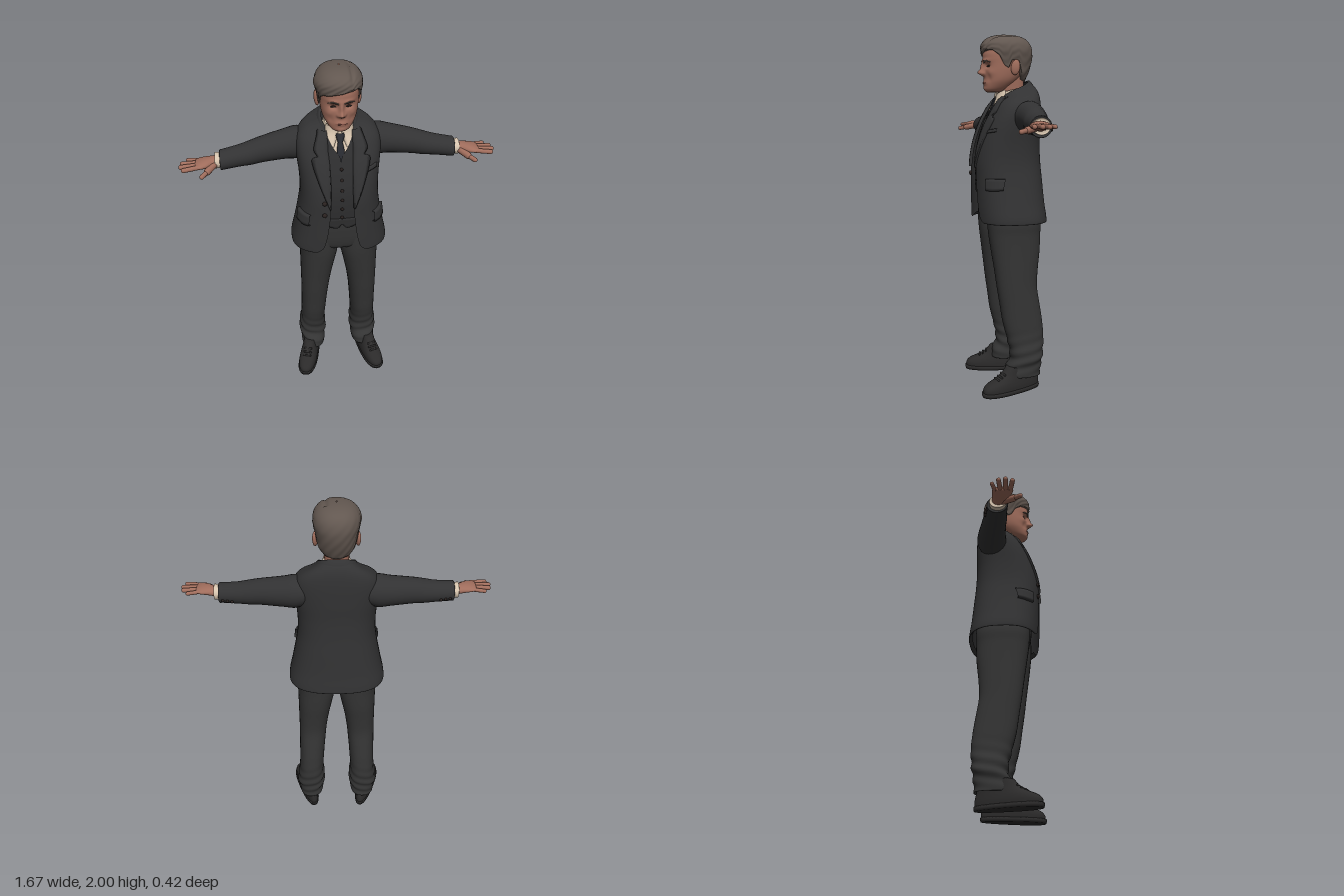
import * as THREE from 'three';

const TAU = Math.PI * 2;
const mat = (name, color, side = THREE.FrontSide) => new THREE.MeshStandardMaterial({ name, color, side });

// Smoothly subdivide a table of cross-sections.
function dense(rows, k = 5) {
  const out = [], at = (i) => rows[Math.max(0, Math.min(rows.length - 1, i))];
  for (let i = 0; i < rows.length - 1; i++)
    for (let s = 0; s < k; s++) {
      const t = s / k, t2 = t * t, t3 = t2 * t;
      out.push(rows[i].map((b, c) => {
        const a = at(i - 1)[c], d = at(i + 1)[c], e = at(i + 2)[c];
        return 0.5 * (2 * b + (d - a) * t + (2 * a - 5 * b + 4 * d - e) * t2 + (3 * b - a - 3 * d + e) * t3);
      }));
    }
  out.push(rows[rows.length - 1]);
  return out;
}

// Row of a subdivided table at height y.
function rowAt(rows, y) {
  let i = rows.length - 2;
  while (i > 0 && rows[i][0] > y) i--;
  const a = rows[i], b = rows[i + 1];
  const t = Math.max(0, Math.min(1, (y - a[0]) / (b[0] - a[0] || 1)));
  return a.map((v, c) => v + (b[c] - v) * t);
}

// Skin a grid of points.
function skin(P, wrap, caps = false) {
  const n = P[0].length, pos = P.flat(2), idx = [];
  const id = (i, j) => i * n + (j % n);
  for (let i = 0; i < P.length - 1; i++)
    for (let j = 0; j < (wrap ? n : n - 1); j++)
      idx.push(id(i, j), id(i + 1, j), id(i, j + 1), id(i, j + 1), id(i + 1, j), id(i + 1, j + 1));
  if (caps) for (const i of [0, P.length - 1]) {
    const c = pos.length / 3;
    for (let k = 0; k < 3; k++) pos.push(P[i].reduce((s, p) => s + p[k], 0) / n);
    for (let j = 0; j < n; j++) i === 0 ? idx.push(c, id(i, j), id(i, j + 1)) : idx.push(c, id(i, j + 1), id(i, j));
  }
  const g = new THREE.BufferGeometry();
  g.setAttribute('position', new THREE.Float32BufferAttribute(pos, 3));
  g.setIndex(idx);
  g.computeVertexNormals();
  return g;
}

// Point on a rounded section: [y, halfWidth, front, back, tilt, half opening, centre x].
const pw = (v, n) => Math.sign(v) * Math.abs(v) ** (2 / n);
function section([y, rx, zf, zb, tilt = 0, open = 0, cx = 0], u, n) {
  const d = Math.asin(Math.min(1, (Math.max(0, open) / rx) ** (n / 2)));
  const a = Math.PI / 2 + d + u * (TAU - 2 * d), s = Math.sin(a);
  return [cx + rx * pw(Math.cos(a), n), y - tilt * s, (zf + zb) / 2 + (zf - zb) / 2 * pw(s, n)];
}
function body(rows, { n = 2.4, seg = 48, open = false, warp = (p) => p } = {}) {
  const P = rows.map((r) => Array.from({ length: open ? seg + 1 : seg }, (_, j) => warp(section(r, j / seg, n), j / seg)));
  return skin(P, !open, !open);
}

// Limb along x from stations [x, y, z, ry, rz].
const limb = (rows, k = 5, seg = 28) => skin(dense(rows, k).map(([x, y, z, ry, rz]) =>
  Array.from({ length: seg }, (_, j) => [x, y + ry * Math.cos(j / seg * TAU), z - rz * Math.sin(j / seg * TAU)])), true, true);

// Thin plate lying on the front of a body, between two edge lines of [x, y].
function patch(rows, n, A, B, off, bump = () => 0) {
  const a = dense(A, 4), b = dense(B, 4);
  const put = (x, y, o) => {
    const r = rowAt(rows, y + (rowAt(rows, y)[4] || 0)), cz = (r[2] + r[3]) / 2, rz = (r[2] - r[3]) / 2;
    const q = Math.min(0.98, Math.abs(x) / r[1]), k = 1 + o / rz;
    return [x * k, y, cz + rz * (1 - q ** n) ** (1 / n) * k + bump(x, y)];
  };
  const cols = [[0, -0.006], [0, off], [0.25, off], [0.5, off], [0.75, off], [1, off], [1, -0.006]];
  return skin(a.map((p, i) => cols.map(([t, o]) =>
    put(p[0] + (b[i][0] - p[0]) * t, p[1] + (b[i][1] - p[1]) * t, o))), false);
}

function capsule(a, b, r) {
  const A = new THREE.Vector3(...a), d = new THREE.Vector3(...b).sub(A);
  const g = new THREE.CapsuleGeometry(r, d.length(), 6, 12);
  g.applyQuaternion(new THREE.Quaternion().setFromUnitVectors(new THREE.Vector3(0, 1, 0), d.clone().normalize()));
  return g.translate(...A.addScaledVector(d, 0.5).toArray());
}
const blob = (x, y, z, rx, ry, rz) => new THREE.SphereGeometry(1, 20, 14).scale(rx, ry, rz).translate(x, y, z);

function mirrored(g) {
  const m = g.clone().scale(-1, 1, 1), ix = m.index.array;
  for (let i = 0; i < ix.length; i += 3) [ix[i], ix[i + 1]] = [ix[i + 1], ix[i]];
  return m;
}

export function createModel() {
  const model = new THREE.Group();
  model.name = 'suitedMan';
  const D = THREE.DoubleSide;
  const jacketM = mat('jacketCloth', 0x323233, D), vestM = mat('vestCloth', 0x2e2e2f, D), trouserM = mat('trouserCloth', 0x343434, D);
  const shirtM = mat('shirtCream', 0xd6c4ae, D), tieM = mat('tieCloth', 0x2a2c32, D), shoeM = mat('shoeLeather', 0x2b2a2a);
  const skinM = mat('skin', 0xa06d5c), hairM = mat('hair', 0x625750, D), darkM = mat('darkDetail', 0x2a2220, D), lipM = mat('lips', 0x7d4c42, D);
  const add = (name, g, m) => { const o = new THREE.Mesh(g, m); o.name = name; model.add(o); };
  const pair = (name, g, m) => { add(name + 'Left', g, m); add(name + 'Right', mirrored(g), m); };

  // Jacket, open down the front with a rolled hem
  const jacket = dense([
    [0.99, 0.25, 0.172, -0.19, 0, 0.15], [0.967, 0.268, 0.188, -0.208, 0, 0.15], [1.0, 0.268, 0.192, -0.207, 0, 0.105],
    [1.08, 0.25, 0.195, -0.197, 0, 0.082], [1.2, 0.226, 0.197, -0.187, 0, 0.066], [1.3, 0.213, 0.197, -0.178, 0, 0.06],
    [1.4, 0.214, 0.18, -0.173, 0, 0.062], [1.5, 0.224, 0.146, -0.175, 0, 0.066], [1.57, 0.226, 0.115, -0.175, 0.01, 0.07],
    [1.62, 0.212, 0.092, -0.172, 0.02, 0.072], [1.655, 0.178, 0.074, -0.165, 0.03, 0.072],
    [1.68, 0.13, 0.06, -0.15, 0.04, 0.07], [1.7, 0.095, 0.048, -0.125, 0.045, 0.066]]);
  add('jacket', body(jacket, { n: 2.6, seg: 72, open: true }), jacketM);
  add('jacketCollar', body(dense([[1.655, 0.132, 0.06, -0.155, 0.045, 0.085], [1.685, 0.112, 0.058, -0.143, 0.047, 0.075],
    [1.705, 0.096, 0.05, -0.126, 0.047, 0.066], [1.7, 0.085, 0.045, -0.115, 0.045, 0.062]]), { n: 2.4, open: true }), jacketM);
  pair('lapel', patch(jacket, 2.6,
    [[0.06, 1.27], [0.059, 1.38], [0.062, 1.5], [0.065, 1.54], [0.068, 1.58], [0.066, 1.66]],
    [[0.064, 1.27], [0.115, 1.42], [0.143, 1.53], [0.115, 1.55], [0.13, 1.585], [0.102, 1.66]], 0.011), jacketM);
  pair('pocketFlap', patch(jacket, 2.6, [[0.165, 1.215], [0.195, 1.216], [0.219, 1.216]], [[0.168, 1.153], [0.2, 1.15], [0.226, 1.155]], 0.013), jacketM);
  add('breastPocket', patch(jacket, 2.6, [[0.11, 1.475], [0.15, 1.482], [0.185, 1.488]], [[0.11, 1.457], [0.15, 1.463], [0.185, 1.468]], 0.006), jacketM);
  for (const y of [1.23, 1.305]) add('jacketButton', blob(-0.095, y, 0.191, 0.013, 0.013, 0.009), darkM);

  // Sleeves, shirt cuffs and sleeve buttons
  pair('sleeve', limb([[0.13, 1.55, -0.07, 0.06, 0.07], [0.21, 1.545, -0.068, 0.088, 0.084], [0.28, 1.54, -0.062, 0.081, 0.08],
    [0.4, 1.528, -0.04, 0.07, 0.07], [0.46, 1.518, -0.028, 0.065, 0.067], [0.52, 1.51, -0.018, 0.058, 0.061],
    [0.6, 1.502, -0.003, 0.054, 0.057], [0.622, 1.5, 0, 0.053, 0.056], [0.62, 1.5, 0, 0.043, 0.046]]), jacketM);
  pair('shirtCuff', limb([[0.58, 1.502, 0, 0.038, 0.042], [0.63, 1.502, 0.004, 0.04, 0.045], [0.648, 1.502, 0.006, 0.041, 0.046], [0.646, 1.502, 0.006, 0.033, 0.038]], 4), shirtM);
  for (const x of [0.55, 0.575, 0.6]) pair('sleeveButton', blob(x, 1.485, -0.06 - (0.6 - x) * 0.25, 0.008, 0.008, 0.007), darkM);

  // Hands
  pair('palm', limb([[0.6, 1.502, 0.004, 0.026, 0.032], [0.65, 1.504, 0.012, 0.025, 0.036], [0.69, 1.506, 0.028, 0.023, 0.049],
    [0.725, 1.506, 0.036, 0.018, 0.055], [0.748, 1.505, 0.038, 0.011, 0.048]], 4), skinM);
  [[0.074, 0.807, 0.092, 0.0125], [0.051, 0.822, 0.058, 0.0125], [0.026, 0.817, 0.023, 0.012], [0.0, 0.79, -0.012, 0.0105]].forEach(([z, tx, tz, r]) =>
    pair('finger', capsule([0.72, 1.506, z], [tx, 1.502, tz], r), skinM));
  pair('thumb', capsule([0.65, 1.497, 0.035], [0.688, 1.485, 0.09], 0.018), skinM);
  pair('thumbTip', capsule([0.685, 1.486, 0.086], [0.715, 1.478, 0.126], 0.0125), skinM);

  // Waistcoat with buttons and pointed hem
  const vest = dense([[1.145, 0.19, 0.168, -0.14, 0, 0], [1.25, 0.185, 0.177, -0.15, 0, 0], [1.35, 0.185, 0.174, -0.15, 0, 0],
    [1.45, 0.185, 0.15, -0.15, 0, 0], [1.53, 0.18, 0.122, -0.15, 0, 0.002], [1.58, 0.165, 0.1, -0.14, 0, 0.035], [1.63, 0.13, 0.078, -0.13, 0, 0.062]]);
  add('waistcoat', body(vest, { n: 2.5, open: true }), vestM);
  pair('waistcoatPoint', patch(vest, 2.5, [[0.001, 1.19], [0.05, 1.19], [0.1, 1.19]], [[0.004, 1.15], [0.03, 1.125], [0.1, 1.15]], 0.005), vestM);
  for (let i = 0; i < 6; i++) {
    const y = 1.2 + i * 0.056;
    add('waistcoatButton', blob(0, y, rowAt(vest, y)[2] + 0.002, 0.009, 0.009, 0.007), darkM);
  }

  // Shirt, collar and tie
  const shirt = dense([[1.45, 0.15, 0.11, -0.12, 0], [1.55, 0.15, 0.098, -0.12, 0], [1.62, 0.115, 0.072, -0.12, 0],
    [1.66, 0.085, 0.06, -0.107, 0.01], [1.7, 0.073, 0.056, -0.106, 0.02]]);
  add('shirt', body(shirt), shirtM);
  pair('shirtCollar', patch(shirt, 2.4, [[0.008, 1.664], [0.014, 1.635], [0.032, 1.585]], [[0.06, 1.695], [0.066, 1.66], [0.056, 1.585]], 0.01), shirtM);
  add('tieKnot', patch(shirt, 2.4, [[-0.017, 1.655], [-0.019, 1.64], [-0.011, 1.612]], [[0.017, 1.655], [0.019, 1.64], [0.011, 1.612]], 0.016), tieM);
  add('tie', patch(shirt, 2.4, [[-0.01, 1.615], [-0.018, 1.57], [-0.02, 1.51]], [[0.01, 1.615], [0.018, 1.57], [0.02, 1.51]], 0.01), tieM);

  // Trousers: rows are [y, inner x, outer x, front, back]
  const leg = dense([[0.1, 0.1, 0.22, 0.03, -0.14], [0.088, 0.09, 0.235, 0.05, -0.15], [0.13, 0.088, 0.234, 0.05, -0.152], [0.2, 0.08, 0.243, 0.022, -0.162],
    [0.3, 0.084, 0.231, 0.04, -0.17], [0.4, 0.078, 0.228, 0.065, -0.163], [0.5, 0.07, 0.226, 0.08, -0.148], [0.6, 0.06, 0.225, 0.095, -0.134],
    [0.7, 0.045, 0.225, 0.108, -0.14], [0.8, 0.025, 0.225, 0.122, -0.152], [0.9, 0.005, 0.226, 0.135, -0.158], [0.98, 0, 0.23, 0.14, -0.16], [1.1, 0, 0.205, 0.14, -0.15]]
    .map(([y, a, b, f, k]) => [y, (b - a) / 2, f, k, 0, 0, (a + b) / 2]), 7);
  pair('trouserLeg', body(leg, { n: 2.4, warp: ([x, y, z], u) => {
    const w = 0.005 * Math.exp(-(((y - 0.2) / 0.1) ** 2)) * Math.sin(y * 95 + 2 * u * TAU);
    return [x + w * Math.cos(u * TAU + Math.PI / 2), y, z + w * Math.sin(u * TAU + Math.PI / 2)];
  } }), trouserM);
  add('trouserSeat', body(dense([[0.915, 0.04, 0.05, -0.08], [0.95, 0.19, 0.118, -0.14], [1.0, 0.22, 0.14, -0.155], [1.1, 0.205, 0.15, -0.15], [1.18, 0.18, 0.15, -0.14]])), trouserM);

  // Shoes, turned outward
  const turn = (g) => g.rotateY(0.27).translate(0.19, 0, 0.025);
  const toe = ([x, y, z]) => [x * (1 + 1.1 * z), y, z];
  pair('sole', turn(body([[0, 0.054, 0.18, -0.18], [0.012, 0.057, 0.185, -0.183], [0.024, 0.056, 0.184, -0.182]], { warp: toe })), shoeM);
  pair('shoe', turn(body(dense([[0.02, 0.052, 0.178, -0.178], [0.045, 0.053, 0.175, -0.178], [0.066, 0.051, 0.153, -0.175],
    [0.085, 0.048, 0.11, -0.17], [0.11, 0.045, 0.065, -0.165], [0.15, 0.044, 0.03, -0.16]]), { warp: toe })), shoeM);
  for (const [z, y] of [[0.095, 0.09], [0.075, 0.1], [0.055, 0.113]]) pair('lace', turn(capsule([-0.022, y, z], [0.022, y, z], 0.006)), shoeM);

  // Head with sculpted brow, eye sockets, nose, mouth and chin
  const bump = (x, y) => [[0, 1.79, 0.03, 0.014, 0.015], [0, 1.82, 0.02, 0.011, 0.03], [0.016, 1.785, 0.011, 0.008, 0.009], [0.037, 1.828, -0.016, 0.02, 0.014],
    [0.035, 1.855, 0.007, 0.028, 0.01], [0.065, 1.79, 0.005, 0.018, 0.018], [0, 1.736, 0.006, 0.03, 0.014], [0.05, 1.755, -0.005, 0.014, 0.025], [0, 1.703, 0.005, 0.025, 0.012]]
    .reduce((s, [bx, by, h, sx, sy]) => s + h * Math.exp(-(((Math.abs(x) - bx) / sx) ** 2) - ((y - by) / sy) ** 2), 0);
  const head = dense([[1.685, 0.03, 0.112, 0.03], [1.698, 0.053, 0.126, 0], [1.73, 0.076, 0.13, -0.04], [1.76, 0.089, 0.13, -0.07], [1.8, 0.097, 0.132, -0.1],
    [1.84, 0.1, 0.134, -0.115], [1.87, 0.101, 0.137, -0.12], [1.9, 0.1, 0.134, -0.12], [1.94, 0.09, 0.115, -0.105], [1.97, 0.06, 0.08, -0.07]], 8);
  add('head', body(head, { n: 2.2, seg: 112, warp: ([x, y, z]) => [x, y, z > 0.03 ? z + bump(x, y) * Math.min(1, (z - 0.03) / 0.04) : z] }), skinM);
  add('neck', body(dense([[1.62, 0.06, 0.045, -0.09], [1.7, 0.063, 0.05, -0.096], [1.79, 0.07, 0.06, -0.09]])), skinM);
  pair('ear', blob(0, 0, 0, 0.013, 0.042, 0.025).rotateX(-0.15).rotateY(-0.25).translate(0.109, 1.817, -0.02), skinM);
  const face = (A, B, o) => patch(head, 2.2, A, B, o, bump);
  pair('eye', face([[0.023, 1.824], [0.038, 1.821], [0.053, 1.823]], [[0.023, 1.826], [0.038, 1.831], [0.053, 1.826]], 0.003), darkM);
  pair('eyebrow', face([[0.014, 1.842], [0.04, 1.85], [0.066, 1.843]], [[0.014, 1.85], [0.04, 1.859], [0.066, 1.847]], 0.003), hairM);
  add('mouth', face([[-0.03, 1.732], [0, 1.734], [0.03, 1.732]], [[-0.03, 1.735], [0, 1.74], [0.03, 1.735]], 0.002), lipM);

  // Hair, side-parted, with a hairline that follows the face, ears and nape
  const hair = dense([[1.74, 0.072, 0.06, -0.097], [1.78, 0.098, 0.1, -0.115], [1.82, 0.106, 0.125, -0.13], [1.86, 0.112, 0.138, -0.14],
    [1.9, 0.12, 0.145, -0.143], [1.94, 0.117, 0.147, -0.134], [1.97, 0.098, 0.128, -0.112], [1.988, 0.07, 0.095, -0.078], [1.997, 0.035, 0.055, -0.035], [1.999, 0.004, 0.015, 0.005]]);
  const line = [[-1, 1.742], [-0.6, 1.755], [-0.42, 1.79], [-0.25, 1.855], [0.0, 1.855], [0.12, 1.81], [0.3, 1.82], [0.45, 1.868], [0.7, 1.895], [1, 1.9]];
  const H = [];
  for (let i = -1; i <= 36; i++) H.push(Array.from({ length: 96 }, (_, j) => {
    const a = Math.PI / 2 + j / 96 * TAU, s = Math.sin(a), c = Math.cos(a), t = Math.sin(Math.max(0, i) / 36 * Math.PI / 2);
    const low = rowAt(line, s)[1] + 0.028 * c * Math.max(0, s), y = low + (1.999 - low) * t;
    const p = section(rowAt(hair, y), j / 96, 2.2), k = i < 0 ? 0.86 : 1 + 0.012 * Math.sin(13 * a + 25 * t) * (1 - t);
    const part = -0.008 * Math.exp(-(((p[0] - 0.055) / 0.01) ** 2)) * (p[2] > -0.03 && y > 1.92 ? 1 : 0);
    const sweep = p[0] < 0 && s > 0 ? 1 + 0.05 * Math.exp(-(((y - 1.92) / 0.035) ** 2)) : 1;
    return [p[0] * k * sweep, y + part, p[2] * k];
  }));
  add('hair', skin(H, true), hairM);
  return model;
}
